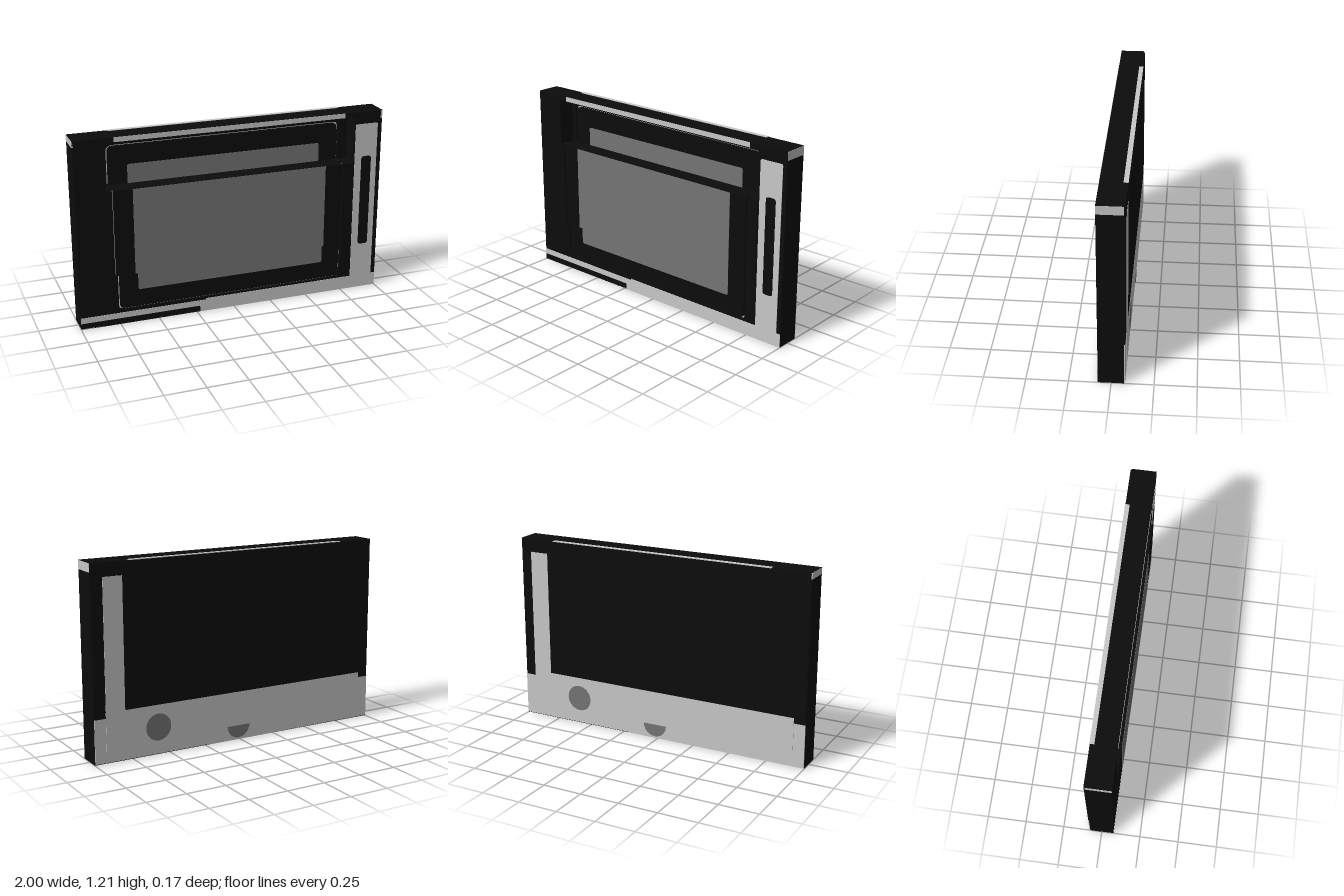
import * as THREE from 'three';

export function createModel() {
  const model = new THREE.Group();
  model.name = 'applianceFront';
  const mat = (name, color) => {
    const m = new THREE.MeshStandardMaterial({ color });
    m.name = name;
    return m;
  };
  const black = mat('black casing', 0x0c0c0c);
  const silver = mat('silver trim', 0xc8c8c8);
  const grey = mat('grey glass', 0x757575);

  const add = (name, geometry, material) => {
    const mesh = new THREE.Mesh(geometry, material);
    mesh.name = name;
    model.add(mesh);
    return mesh;
  };
  // Box given by its extents
  const box = (name, material, x0, x1, y0, y1, z0, z1) =>
    add(name, new THREE.BoxGeometry(x1 - x0, y1 - y0, z1 - z0), material)
      .position.set((x0 + x1) / 2, (y0 + y1) / 2, (z0 + z1) / 2);
  // Rectangle outline with separate bottom and top corner radii
  const rect = (x0, x1, y0, y1, rb, rt, Type = THREE.Shape) => {
    const s = new Type();
    s.moveTo(x0 + rb, y0);
    s.lineTo(x1 - rb, y0);
    if (rb) s.quadraticCurveTo(x1, y0, x1, y0 + rb);
    s.lineTo(x1, y1 - rt);
    if (rt) s.quadraticCurveTo(x1, y1, x1 - rt, y1);
    s.lineTo(x0 + rt, y1);
    if (rt) s.quadraticCurveTo(x0, y1, x0, y1 - rt);
    s.lineTo(x0, y0 + rb);
    if (rb) s.quadraticCurveTo(x0, y0, x0 + rb, y0);
    return s;
  };
  const slab = (name, material, shape, z0, z1) =>
    add(name, new THREE.ExtrudeGeometry(shape, { depth: z1 - z0, bevelEnabled: false, curveSegments: 5 }), material)
      .position.z = z0;

  // Casing around the front opening
  box('casingBack', black, -1, 1, 0, 1.21, -0.075, -0.052);
  box('casingLeft', black, 0.81, 1, 0, 1.21, -0.052, 0.078);
  box('casingRight', black, -1, -0.81, 0, 1.21, -0.052, 0.078);
  box('topBeam', black, -0.81, 0.81, 1.18, 1.21, -0.052, 0.078);
  box('lowerCore', black, -0.81, 0.81, 0, 0.33, -0.052, 0.06);
  box('baseFront', black, -0.81, 0.81, 0, 0.08, 0.06, 0.078);
  box('middleCore', black, -0.81, 0.81, 0.33, 0.88, -0.052, 0.06);

  // Recessed upper panel with a bright gap around it
  box('upperGap', silver, -0.79, 0.76, 0.88, 1.145, -0.052, -0.05);
  const upperRim = rect(-0.81, 0.81, 0.88, 1.18, 0, 0);
  upperRim.holes.push(rect(-0.777, 0.747, 0.882, 1.13, 0, 0.04, THREE.Path));
  slab('upperRim', black, upperRim, -0.05, -0.03);
  slab('upperPanel', black, rect(-0.767, 0.737, 0.88, 1.12, 0, 0.035), -0.05, -0.03);
  slab('upperGlass', grey, rect(-0.648, 0.613, 0.88, 1, 0, 0.012), -0.03, -0.028);

  // Raised middle panel
  box('middleGap', silver, -0.79, 0.76, 0.33, 0.878, 0.06, 0.062);
  box('middleRightSide', black, -0.81, -0.775, 0.33, 0.88, 0.06, 0.087);
  box('middlePanel', black, -0.766, 0.73, 0.33, 0.88, 0.06, 0.087);
  box('middleLeftSide', black, 0.738, 0.81, 0.33, 0.88, 0.06, 0.087);
  box('middleGlass', grey, -0.648, 0.613, 0.33, 0.88, 0.087, 0.089);

  // Lower panel, flush with the casing
  box('lowerGap', silver, -0.79, 0.76, 0.085, 0.33, 0.06, 0.062);
  const lowerRim = rect(-0.81, 0.81, 0.08, 0.33, 0, 0);
  lowerRim.holes.push(rect(-0.757, 0.737, 0.097, 0.329, 0.03, 0, THREE.Path));
  slab('lowerRim', black, lowerRim, 0.06, 0.078);
  slab('lowerPanel', black, rect(-0.748, 0.728, 0.106, 0.33, 0.025, 0), 0.06, 0.078);
  slab('lowerGlass', grey, rect(-0.63, 0.607, 0.218, 0.33, 0.012, 0), 0.078, 0.08);

  // Front trim, control strip and its slot
  box('topTrim', silver, -0.75, 0.74, 1.18, 1.21, 0.078, 0.08);
  slab('controlStrip', silver, rect(0.818, 0.972, 0.08, 1.13, 0, 0.012), 0.078, 0.08);
  slab('controlSlot', black, rect(0.865, 0.933, 0.31, 0.915, 0.02, 0.02), 0.08, 0.082);
  box('baseTrimUpper', silver, -1, -0.23, 0.04, 0.077, 0.078, 0.08);
  box('baseTrimEnd', silver, -0.23, -0.19, 0, 0.077, 0.078, 0.08);
  box('baseTrim', silver, -0.19, 1, 0, 0.086, 0.078, 0.08);

  // Trim on the top, ends and underside
  box('topBackTrim', silver, -0.75, 0.755, 1.208, 1.212, -0.083, -0.055);
  box('leftEndTrim', silver, 0.99, 1.001, 1.155, 1.209, -0.075, 0.078);
  box('rightEndTrim', silver, -1.001, -0.99, 1.17, 1.209, -0.075, 0.078);
  box('undersideTrim', silver, -1, 0.22, -0.001, 0.004, -0.075, 0.078);

  // Back cover in two shallow steps, silver below and black above
  box('backCoverUpper', black, -0.995, 0.995, 0.28, 1.205, -0.081, -0.075);
  box('backCoverLower', silver, -0.998, 0.998, 0.005, 0.28, -0.081, -0.075);
  box('backPlateUpper', black, -0.925, 0.925, 0.315, 1.13, -0.084, -0.081);
  box('backPlateLower', silver, -0.925, 0.925, 0.075, 0.315, -0.084, -0.081);
  box('backStripe', silver, 0.8, 0.925, 0.31, 1.125, -0.0855, -0.083);

  // Round grey marks on the back: a full disc and a lower half disc
  const disc = (name, x, y, r, start, sweep) => {
    const m = add(name, new THREE.CircleGeometry(r, 28, start, sweep), grey);
    m.position.set(x, y, -0.0858);
    m.rotation.y = Math.PI;
  };
  disc('backDisc', 0.58, 0.175, 0.085, 0, Math.PI * 2);
  disc('backHalfDisc', 0.015, 0.095, 0.08, Math.PI, Math.PI);

  return model;
}
